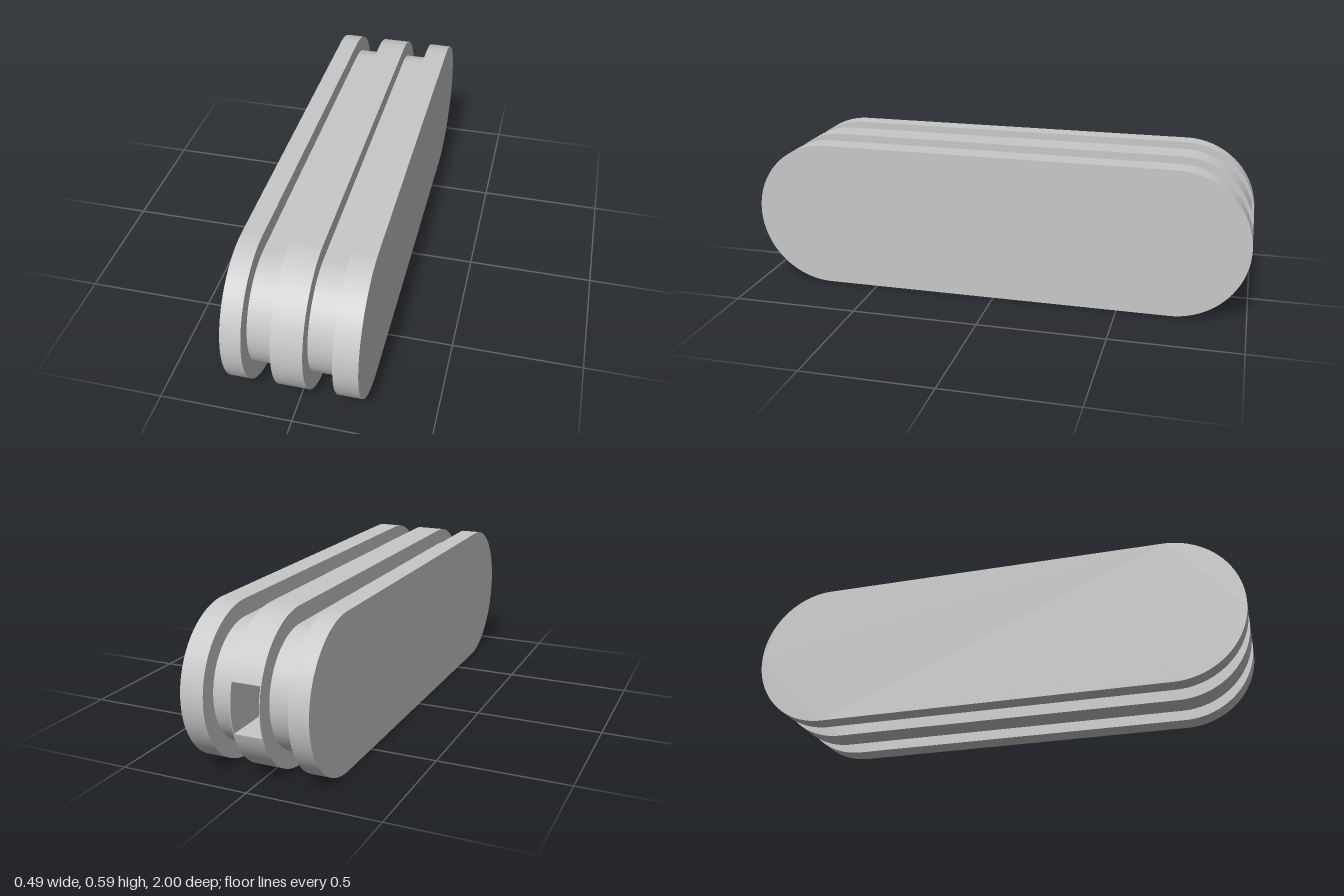
import * as THREE from 'three';
import { toCreasedNormals } from 'three/addons/utils/BufferGeometryUtils.js';

const CENTRE_Y = 0.295, HALF_STRAIGHT = 0.705;

// Stadium outline lying along the length; an optional slot opens at the back tip.
function stadium(radius, slotHalf = 0, slotDepth = 0) {
  const s = new THREE.Shape();
  const a = Math.asin(slotHalf / radius);
  s.absarc(HALF_STRAIGHT, 0, radius, a, Math.PI / 2, false);
  s.absarc(-HALF_STRAIGHT, 0, radius, Math.PI / 2, Math.PI * 1.5, false);
  s.absarc(HALF_STRAIGHT, 0, radius, -Math.PI / 2, -a, false);
  if (slotHalf > 0) {
    const inner = HALF_STRAIGHT + radius - slotDepth;
    s.lineTo(inner, -slotHalf);
    s.lineTo(inner, slotHalf);
  }
  s.closePath();
  return s;
}

// Slab of the outline between two x positions.
function slab(name, shape, x0, x1, material) {
  let geo = new THREE.ExtrudeGeometry(shape, { depth: x1 - x0, bevelEnabled: false, curveSegments: 32 });
  geo.rotateY(Math.PI / 2);
  geo.translate(x0, CENTRE_Y, 0);
  geo = toCreasedNormals(geo, Math.PI / 6);
  const mesh = new THREE.Mesh(geo, material);
  mesh.name = name;
  return mesh;
}

export function createModel() {
  const group = new THREE.Group();
  group.name = 'groovedCapsule';
  const grey = new THREE.MeshStandardMaterial({ color: 0xc8c8c8 });
  grey.name = 'light grey';

  const outer = stadium(0.295);
  const core = stadium(0.231);
  const slotted = stadium(0.295, 0.093, 0.4);
  const parts = [
    ['rightFlange', outer, -0.244, -0.168],
    ['rightGroove', core, -0.168, -0.064],
    // centre rib: thin side walls around the slotted middle
    ['ribRightWall', outer, -0.064, -0.061],
    ['centreRib', slotted, -0.061, 0.047],
    ['ribLeftWall', outer, 0.047, 0.05],
    ['leftGroove', core, 0.05, 0.154],
    ['leftFlange', outer, 0.154, 0.244],
  ];
  for (const [name, shape, x0, x1] of parts) group.add(slab(name, shape, x0, x1, grey));
  return group;
}
